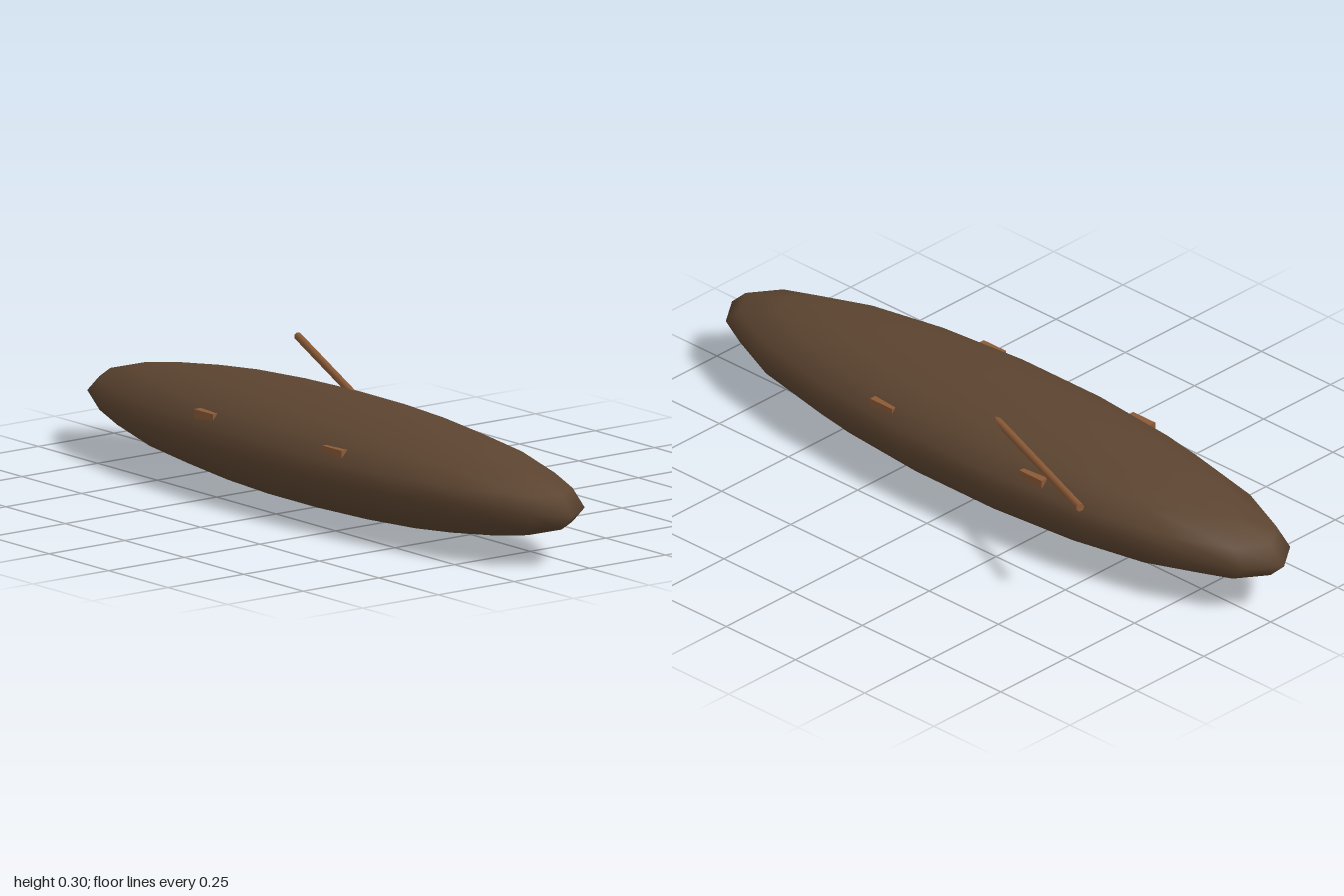
import * as THREE from 'three';

export function createModel() {
  const model = new THREE.Group();
  const mat = (name, color) => Object.assign(new THREE.MeshStandardMaterial({ color }), { name });
  const hullWood = mat('dark hull wood', 0x5c4430);
  const paleWood = mat('light wood', 0x8b5a36);
  const add = (name, geometry, material) => {
    const mesh = new THREE.Mesh(geometry, material);
    mesh.name = name;
    model.add(mesh);
    return mesh;
  };

  // Long closed hull, vertices at bow and stern
  const hullGeo = new THREE.SphereGeometry(1, 18, 10).rotateY(Math.PI / 2).scale(0.25, 0.145, 0.997);
  add('hull', hullGeo, hullWood).position.set(-0.05, 0.147, -0.003);

  // Cross benches whose ends show through the sides
  for (const z of [-0.29, 0.25]) {
    add('bench', new THREE.BoxGeometry(0.425, 0.024, 0.08), paleWood).position.set(-0.05, 0.212, z);
  }

  // Paddle resting on the deck, its blade tucked inside the hull
  const tip = new THREE.Vector3(0.282, 0.295, -0.585);
  const end = new THREE.Vector3(-0.048, 0.247, 0.187);
  const axis = tip.clone().sub(end);
  const paddle = new THREE.Group();
  paddle.name = 'paddle';
  paddle.position.copy(end);
  paddle.quaternion.setFromUnitVectors(new THREE.Vector3(0, 1, 0), axis.clone().normalize());
  const shaft = new THREE.Mesh(new THREE.CylinderGeometry(0.011, 0.011, axis.length(), 8), paleWood);
  shaft.name = 'paddleShaft';
  shaft.position.y = axis.length() / 2;
  const blade = new THREE.Mesh(new THREE.BoxGeometry(0.06, 0.16, 0.012), paleWood);
  blade.name = 'paddleBlade';
  paddle.add(shaft, blade);
  model.add(paddle);

  return model;
}
